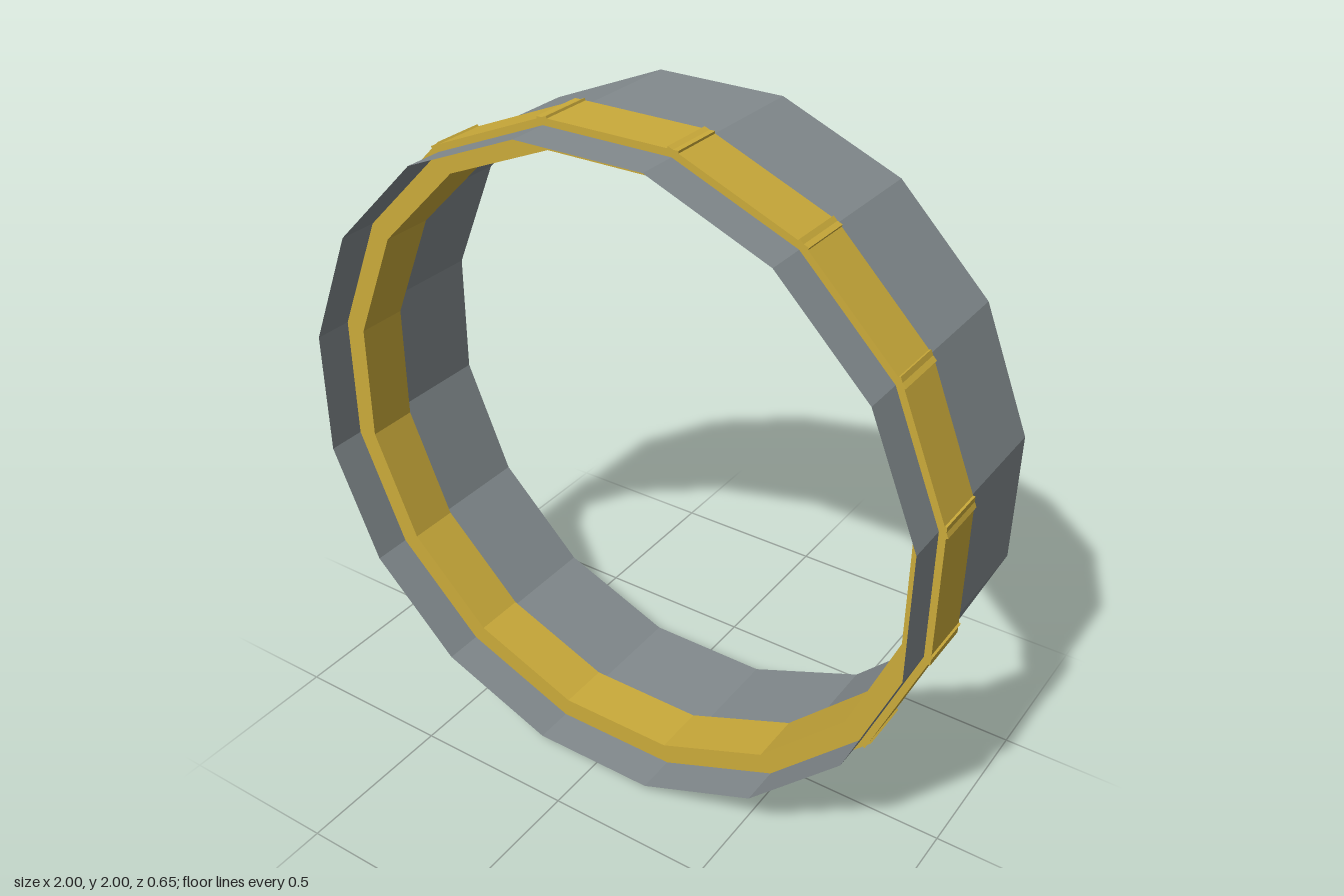
import * as THREE from 'three';

const SIDES = 16;
const STEP = (Math.PI * 2) / SIDES;

export function createModel() {
  const model = new THREE.Group();
  model.name = 'bandedRing';

  const steel = new THREE.MeshStandardMaterial({
    name: 'steelGrey', color: 0x828a8d, flatShading: true, side: THREE.DoubleSide,
  });
  const gold = new THREE.MeshStandardMaterial({ name: 'gold', color: 0xcaaa3a, flatShading: true });

  // Everything is arranged around the ring's axis, which runs along z
  const ring = new THREE.Group();
  ring.name = 'ring';
  ring.position.y = 1;
  model.add(ring);

  // Thin open sleeve with flat facets at top, bottom and sides
  const apothem = 0.974;
  const radius = apothem / Math.cos(STEP / 2);
  const sleeveGeometry = new THREE.CylinderGeometry(radius, radius, 0.65, SIDES, 1, true, STEP / 2);
  sleeveGeometry.rotateX(Math.PI / 2);
  const sleeve = new THREE.Mesh(sleeveGeometry, steel);
  sleeve.name = 'sleeve';
  ring.add(sleeve);

  // Gold band: one straight bar per facet, slightly overlong so the ends cross at the corners
  const inner = 0.911, outer = 0.994;
  const barGeometry = new THREE.BoxGeometry(0.427, outer - inner, 0.163);
  barGeometry.translate(0, (inner + outer) / 2, 0.122);
  const band = new THREE.Group();
  band.name = 'goldBand';
  for (let i = 0; i < SIDES; i++) {
    const bar = new THREE.Mesh(barGeometry, gold);
    bar.name = 'bandBar';
    bar.rotation.z = i * STEP;
    band.add(bar);
  }
  ring.add(band);

  return model;
}
